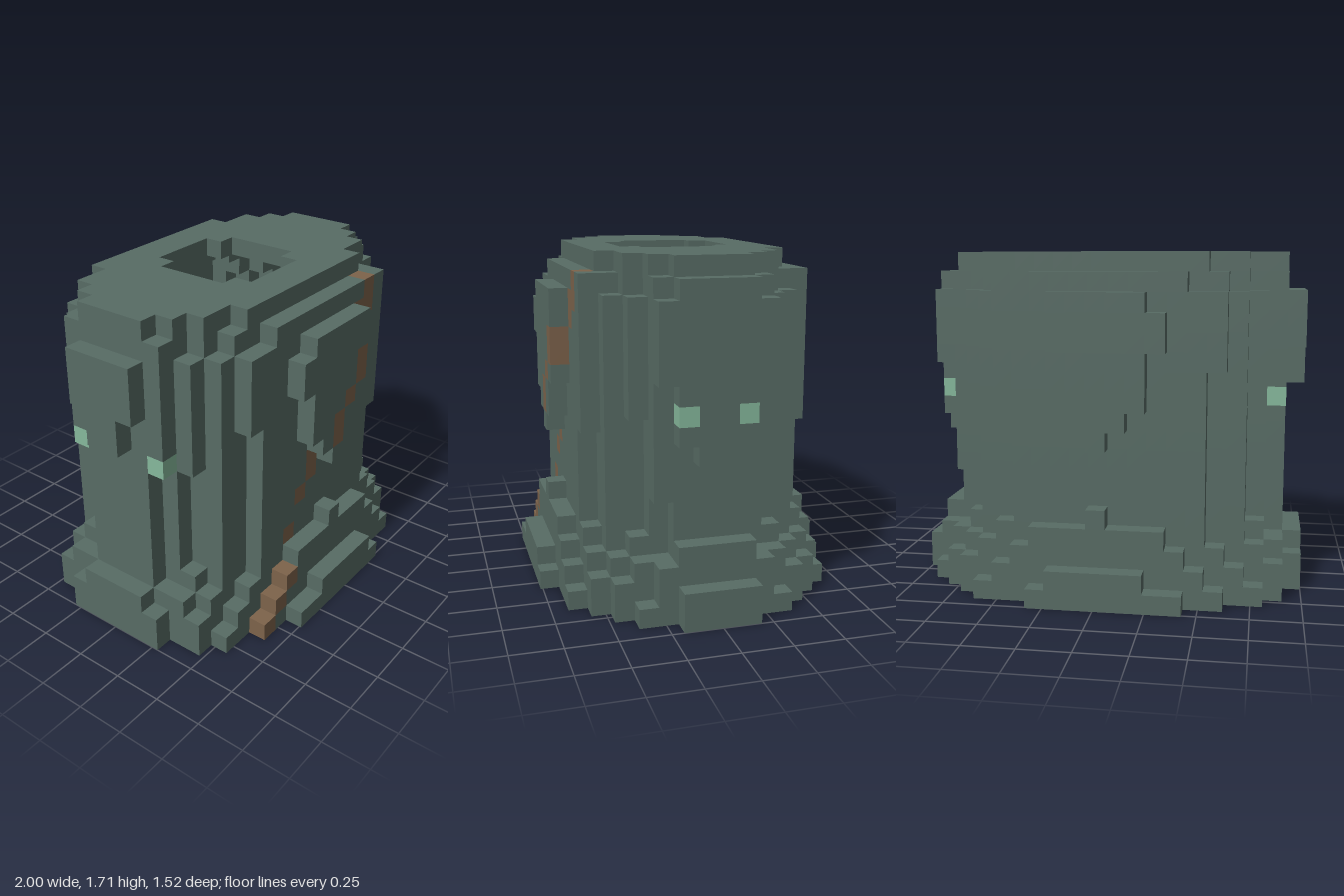
import * as THREE from 'three';
import { mergeGeometries } from 'three/addons/utils/BufferGeometryUtils.js';

// Block grid: 21 wide, 18 high, 16 deep
const NX = 21, NY = 18, NZ = 16, U = 2 / NX;

function makeGrid() {
  const cells = new Map();
  const key = (x, y, z) => (x * 32 + y) * 32 + z;
  return {
    get: (x, y, z) => (x < 0 || y < 0 || z < 0 ? undefined : cells.get(key(x, y, z))),
    set: (x, y, z, v) => cells.set(key(x, y, z), v),
    remove: (x, y, z) => cells.delete(key(x, y, z)),
  };
}

function each(fn) {
  for (let x = 0; x < NX; x++) for (let y = 0; y < NY; y++) for (let z = 0; z < NZ; z++) fn(x, y, z);
}

// Directions to the touching blocks: by face, and by face, edge or corner
const SIDES = [[1, 0, 0], [-1, 0, 0], [0, 1, 0], [0, -1, 0], [0, 0, 1], [0, 0, -1]];
const STEP = [-1, 0, 1];
const AROUND = STEP.flatMap((a) => STEP.flatMap((b) => STEP.map((c) => [a, b, c])));

export function createModel() {
  const stone = new THREE.MeshStandardMaterial({ color: 0x586c65 });
  stone.name = 'greyGreen';
  const rust = new THREE.MeshStandardMaterial({ color: 0x7d634b });
  rust.name = 'brown';
  const glow = new THREE.MeshStandardMaterial({ color: 0x86b99c });
  glow.name = 'paleGreen';

  const grid = makeGrid();
  // Fills a slab that starts d blocks in from the front and from the back
  const fill = (d, part, boxes) => {
    for (const [x0, x1, y0, y1] of boxes)
      for (let x = x0; x < x1; x++) for (let y = y0; y < y1; y++)
        for (let z = d; z < NZ - d; z++) grid.set(x, y, z, part);
  };

  // Body, from the broad outer slabs to the sides
  fill(2, 'body', [[5, 15, 4, 16], [4, 16, 12, 16], [5, 16, 9, 14], [6, 16, 16, 17]]);
  fill(3, 'body', [[3, 17, 3, 16], [4, 16, 16, 17], [5, 15, 17, 18]]);
  fill(4, 'body', [[3, 17, 3, 18], [2, 18, 10, 16]]);
  fill(5, 'body', [[2, 18, 3, 18], [2, 19, 6, 12], [1, 19, 11, 17]]);
  fill(6, 'body', [[1, 19, 3, 18]]);

  // Chest plates on front and back
  fill(1, 'chestPlate', [
    [10, 11, 8, 9], [9, 12, 9, 10], [8, 12, 10, 11], [8, 13, 11, 13],
    [7, 13, 13, 15], [8, 13, 15, 16],
  ]);

  // Side plates
  fill(5, 'sidePlate', [[19, 20, 12, 16]]);
  fill(6, 'sidePlate', [[19, 20, 9, 17], [0, 1, 13, 16]]);
  fill(7, 'sidePlate', [[19, 20, 8, 9], [0, 1, 11, 13]]);

  // Flared base
  fill(0, 'base', [[6, 14, 0, 1], [8, 13, 1, 2]]);
  fill(1, 'base', [[4, 17, 0, 1], [5, 16, 1, 2], [6, 15, 2, 3], [7, 14, 3, 4], [10, 11, 4, 5]]);
  fill(2, 'base', [[2, 18, 0, 1], [3, 18, 1, 2], [4, 17, 2, 3], [5, 16, 3, 4]]);
  fill(3, 'base', [[1, 19, 0, 2], [2, 18, 2, 3]]);
  fill(4, 'base', [[1, 20, 0, 1], [1, 19, 1, 3], [2, 18, 3, 4]]);
  fill(5, 'base', [[0, 20, 0, 2], [1, 20, 2, 3]]);
  fill(6, 'base', [[0, 21, 0, 2], [0, 20, 2, 3], [1, 20, 3, 4]]);

  // Eyes on both sides: column and row
  for (const [x, z] of [[1, 5], [1, 10], [19, 6], [19, 9]]) grid.set(x, 10, z, 'eyes');

  // Diagonal stripe painted into the frontmost blocks: column, first and last row
  const stripe = [
    [4, 0, 0], [5, 1, 1], [6, 2, 2], [7, 4, 4], [8, 6, 6], [9, 7, 8],
    [10, 9, 10], [11, 11, 11], [12, 12, 13], [13, 14, 15], [14, 15, 16],
  ];
  for (const [x, y0, y1] of stripe)
    for (let y = y0; y <= y1; y++) {
      let z = NZ - 1;
      while (z > 0 && !grid.get(x, y, z)) z--;
      grid.set(x, y, z, 'stripe');
    }

  // Hollow the inside, open at the bottom, with a thinner wall at the foot
  const inner = [];
  each((x, y, z) => {
    if (!grid.get(x, y, z)) return;
    const near = y < 2 ? SIDES : AROUND;
    const buried = near.every(([a, b, c]) => y + b < 0 || grid.get(x + a, y + b, z + c));
    if (buried) inner.push([x, y, z]);
  });
  inner.forEach((c) => grid.remove(...c));

  // Neck hole through the top
  for (let x = 7; x < 13; x++) for (let z = 5; z < 11; z++) {
    const corner = (x === 7 || x === 12) && (z === 5 || z === 10);
    if (!corner) grid.remove(x, 17, z);
  }

  // Brown rim inside the bottom opening
  for (const [x, y, z] of inner) {
    const r = Math.hypot((x - 10) / 10.2, (z - 7.5) / 7.8);
    if (y < 2 && r > 0.55 && r < 0.82) grid.set(x, y, z, 'innerRim');
  }

  // Outer faces of the blocks, gathered by part
  const faces = {};
  const dir = new THREE.Vector3(), zAxis = new THREE.Vector3(0, 0, 1);
  const turn = new THREE.Quaternion();
  each((x, y, z) => {
    const part = grid.get(x, y, z);
    if (!part) return;
    for (const [a, b, c] of SIDES) {
      if (grid.get(x + a, y + b, z + c)) continue;
      const g = new THREE.PlaneGeometry(U, U);
      if (c === -1) g.rotateY(Math.PI);
      else g.applyQuaternion(turn.setFromUnitVectors(zAxis, dir.set(a, b, c)));
      g.translate(
        (x + 0.5 + a / 2 - NX / 2) * U,
        (y + 0.5 + b / 2) * U,
        (z + 0.5 + c / 2 - NZ / 2) * U,
      );
      (faces[part] ??= []).push(g);
    }
  });

  const model = new THREE.Group();
  model.name = 'hollowBust';
  const materials = { eyes: glow, stripe: rust, innerRim: rust };
  for (const [part, list] of Object.entries(faces)) {
    const mesh = new THREE.Mesh(mergeGeometries(list), materials[part] ?? stone);
    mesh.name = part;
    model.add(mesh);
  }
  return model;
}
